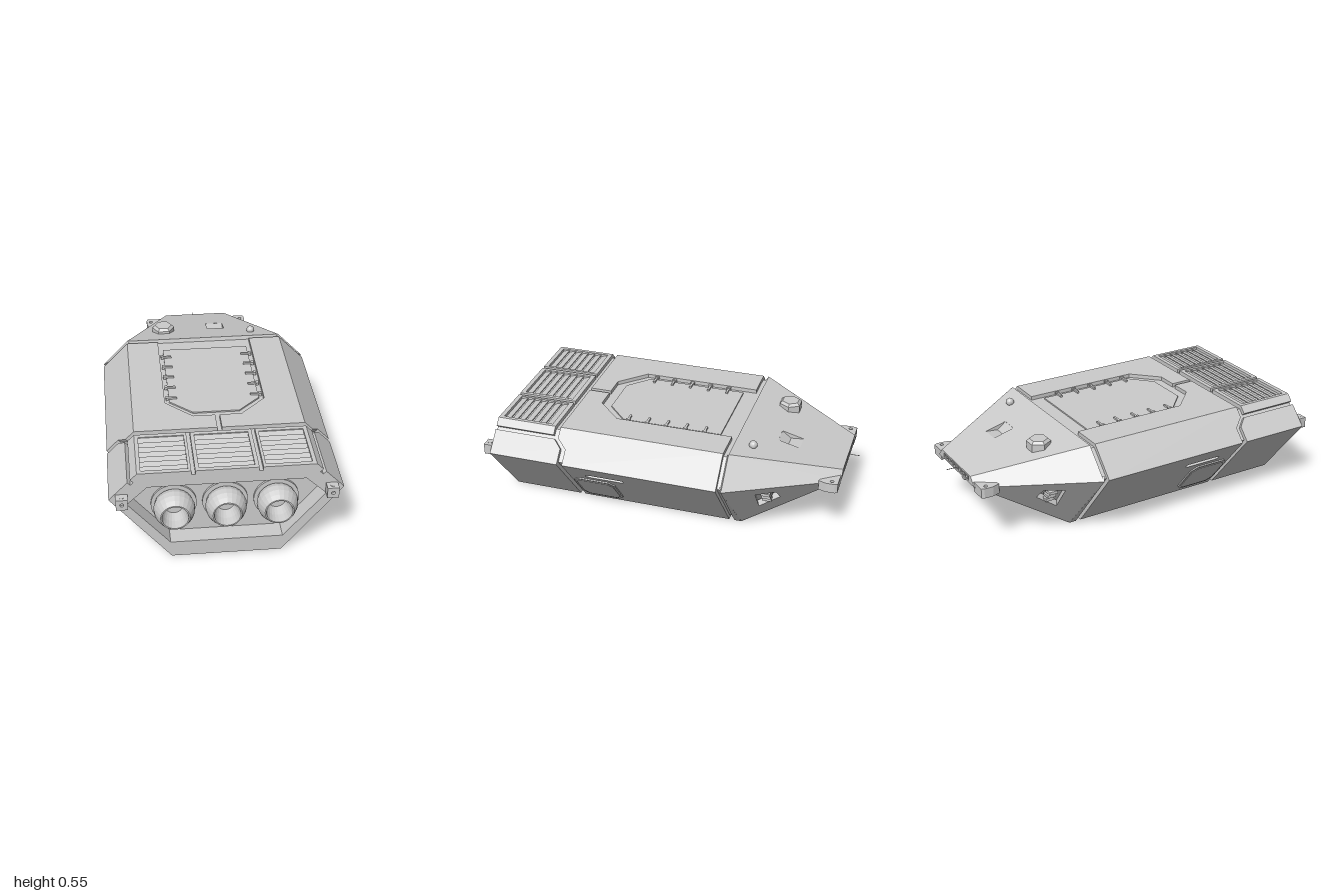
import * as THREE from 'three';
import { ConvexGeometry } from 'three/addons/geometries/ConvexGeometry.js';

const MAT = new THREE.MeshStandardMaterial({ color: 0xcccccc, flatShading: true, side: THREE.DoubleSide });
const V = (x, y, z) => new THREE.Vector3(x, y, z);
const CENTRE = V(0, 0.27, 0);

export function createModel() {
  const root = new THREE.Group();
  const add = (name, geo, x = 0, y = 0, z = 0) => {
    const m = new THREE.Mesh(geo, MAT);
    m.name = name;
    m.position.set(x, y, z);
    root.add(m);
    return m;
  };
  const box = (name, w, h, d, x, y, z) => add(name, new THREE.BoxGeometry(w, h, d), x, y, z);
  const shape2 = (pts, holes = []) => {
    const s = new THREE.Shape(pts.map(p => new THREE.Vector2(p[0], p[1])));
    holes.forEach(h => s.holes.push(new THREE.Path(h.map(p => new THREE.Vector2(p[0], p[1])))));
    return s;
  };
  const extrude = (s, depth) => new THREE.ExtrudeGeometry(s, { depth, bevelEnabled: false, curveSegments: 10 });

  // Armour plate: flat outline in space, thickened inwards by depth and outwards by raise
  const panel = (name, pts, { holes = [], depth = 0.022, raise = 0 } = {}) => {
    const o = pts[0], n = V(0, 0, 0), mid = V(0, 0, 0);
    pts.forEach((p, i) => {
      n.add(p.clone().sub(o).cross(pts[(i + 1) % pts.length].clone().sub(o)));
      mid.addScaledVector(p, 1 / pts.length);
    });
    n.normalize();
    if (n.dot(mid.sub(CENTRE)) < 0) n.negate();
    const u = pts[1].clone().sub(o);
    u.addScaledVector(n, -u.dot(n)).normalize();
    const v = n.clone().cross(u);
    const flat = list => list.map(p => { const d = p.clone().sub(o); return [d.dot(u), d.dot(v)]; });
    const g = extrude(shape2(flat(pts), holes.map(flat)), depth + raise);
    g.translate(0, 0, -depth);
    g.applyMatrix4(new THREE.Matrix4().makeBasis(u, v, n).setPosition(o));
    return add(name, g);
  };
  const flip = list => list.map(p => V(-p.x, p.y, p.z));
  const pair = (name, pts, opt = {}) => {
    panel(name + 'Left', pts, opt);
    panel(name + 'Right', flip(pts), { ...opt, holes: (opt.holes || []).map(flip) });
  };
  const bothSides = fn => [1, -1].forEach(fn);
  // Points on the sloped surfaces
  const low = (z, y) => V(0.595 - (0.385 - y) * 0.805, y, z);
  const up = (z, y) => V(0.595 - (y - 0.385) * 0.967, y, z);
  const top = (x, z) => V(x, 0.535, z);
  const noseTop = (x, z, drop = 0) => V(x, 0.535 + 0.148 * (z + 0.37) / 0.57 - drop, z);
  const noseLow = (z, y) => V(0.595 + (0.1627 * (y - 0.385) + 0.1266 * (z + 0.37)) / 0.2143, y, z);
  const noseUnder = (x, t) => V(x, 0.3 * t, -0.41 - 0.46 * t);
  const chamfer = (a0, a1, b0, b1, c, f) => [[a0 + c, b0], [a1 - c, b0], [a1, b0 + c], [a1, b1 - c],
    [a1 - c, b1], [a0 + c, b1], [a0, b1 - c], [a0, b0 + c]].map(p => f(p[0], p[1]));

  // Inner hull beneath the plates, with the engine bay opening at the front
  const hex = [[0.441, 0.513], [0.566, 0.384], [0.275, 0.022], [-0.275, 0.022], [-0.566, 0.384], [-0.441, 0.513]];
  const bay = [[0.4, 0.45], [0.505, 0.35], [0.29, 0.09], [-0.29, 0.09], [-0.505, 0.35], [-0.4, 0.45]];
  add('hullCore', extrude(shape2(hex), 1.235), 0, 0, -0.385);
  add('engineBayFrame', extrude(shape2(hex, [bay]), 0.1), 0, 0, 0.85);

  // Side plates, split by the jogged groove
  pair('lowerSidePlate', [low(-0.34, 0), low(0.525, 0), low(0.525, 0.385), low(-0.34, 0.385)],
    { holes: [chamfer(0.2, 0.42, 0.277, 0.302, 0.008, low)] });
  pair('lowerFrontSidePlate', [low(0.555, 0), low(0.95, 0), low(0.95, 0.385), low(0.555, 0.385)]);
  pair('upperSidePlate', [up(-0.34, 0.385), up(0.525, 0.385), up(0.525, 0.45), up(0.58, 0.49),
    up(0.58, 0.535), up(-0.34, 0.535)]);
  pair('upperFrontSidePlate', [up(0.555, 0.385), up(0.95, 0.385), up(0.95, 0.485), up(0.6, 0.485), up(0.555, 0.45)]);
  pair('ventEdgePlate', [up(0.61, 0.5), up(0.95, 0.5), up(0.95, 0.535), up(0.61, 0.535)]);
  pair('sideDoor', chamfer(0.27, 0.51, 0.04, 0.25, 0.03, low), { depth: 0, raise: 0.007 });
  pair('sideDoorInset', chamfer(0.282, 0.498, 0.052, 0.238, 0.027, low), { depth: 0, raise: 0.01 });

  // Roof plates and the sunken hatch with its hinges
  pair('roofPlate', [top(0.45, -0.34), top(0.27, -0.34), top(0.27, 0.32), top(0.13, 0.46),
    top(0.012, 0.46), top(0.012, 0.58), top(0.45, 0.58)]);
  panel('roofHatch', [[-0.245, -0.27], [0.245, -0.27], [0.245, 0.29], [0.125, 0.405], [-0.125, 0.405], [-0.245, 0.29]]
    .map(p => V(p[0], 0.513, p[1])), { depth: 0.002, raise: 0.008 });
  bothSides(s => {
    for (let i = 0; i < 5; i++) {
      box('hatchHinge', 0.06, 0.012, 0.012, s * 0.232, 0.525, -0.18 + i * 0.11);
      box('hinge knuckle', 0.014, 0.016, 0.024, s * 0.255, 0.525, -0.18 + i * 0.11);
    }
  });

  // Three louvred vents above the engines
  [[-0.45, -0.18, -0.43, -0.195], [-0.16, 0.16, -0.14, 0.14], [0.18, 0.45, 0.195, 0.43]].forEach(([a, b, c, d]) => {
    panel('ventFrame', [top(a, 0.61), top(b, 0.61), top(b, 0.95), top(a, 0.95)],
      { holes: [[top(c, 0.635), top(d, 0.635), top(d, 0.925), top(c, 0.925)]] });
    for (let i = 0; i < 7; i++) {
      box('ventSlat', d - c, 0.004, 0.042, (a + b) / 2 + (c + d - a - b) / 2, 0.523, 0.656 + i * 0.0415).rotation.x = 0.3;
    }
  });

  // Belly plates
  const belly = (x, z) => V(x, 0, z);
  panel('bellyPanel', [[-0.15, -0.34], [0.15, -0.34], [0.15, 0.3], [0.1, 0.37], [0.1, 0.46], [0.04, 0.52],
    [-0.04, 0.52], [-0.1, 0.46], [-0.1, 0.37], [-0.15, 0.3]].map(p => belly(...p)));
  pair('bellySidePlate', [[0.285, -0.34], [0.17, -0.34], [0.17, 0.305], [0.12, 0.375], [0.12, 0.465],
    [0.06, 0.525], [0.285, 0.525]].map(p => belly(...p)));
  panel('bellyFrontPlate', [belly(-0.285, 0.555), belly(0.285, 0.555), belly(0.285, 0.95), belly(-0.285, 0.95)]);

  // Tapered nose: inner core and plates
  const core = [];
  bothSides(s => [[0.415, 0.505, -0.37], [0.55, 0.385, -0.37], [0.27, 0.03, -0.37], [0.165, 0.365, -0.9],
    [0.2, 0.35, -0.9], [0.2, 0.335, -0.9]].forEach(p => core.push(V(s * p[0], p[1], p[2]))));
  add('noseCore', new ConvexGeometry(core));
  const A = V(0.595, 0.385, -0.37), T = V(0.45, 0.535, -0.37), E = V(0.185, 0.387, -0.94);
  const C = V(0.23, 0.34, -0.94), D = V(0.24, 0.3, -0.87), B = V(0.285, 0, -0.41), B0 = V(0.285, 0, -0.37);
  const quad = (p, q) => [p, q, ...flip([q, p])];
  const rect = (x0, x1, z0, z1, f) => [f(x0, z0), f(x1, z0), f(x1, z1), f(x0, z1)];
  panel('noseTopPlate', quad(T, E), { depth: 0.03, holes: [rect(0.045, 0.145, -0.69, -0.57, noseTop)] });
  pair('noseUpperSide', [A, T, E, C]);
  pair('noseLowerSide', [A, B, D, C],
    { depth: 0.035, holes: [[[-0.52, 0.31], [-0.62, 0.31], [-0.635, 0.25], [-0.52, 0.17]].map(p => noseLow(...p))] });
  pair('noseSideJoint', [A, B0, B]);
  panel('noseBellyJoint', quad(B0, B));
  panel('noseUnderside', quad(B, D), { depth: 0.03, holes: [chamfer(-0.17, 0.17, 0.15, 0.8, 0.06, noseUnder)] });
  panel('noseTipLower', quad(C, D), { depth: 0.01 });
  panel('noseTip', quad(E, C), { depth: 0.01, holes: [rect(-0.16, 0.16, 0.35, 0.377, (x, y) => V(x, y, -0.94))] });

  // Underside hatch block, roof trough, side niche fittings and tip lamps
  panel('undersideHatch', chamfer(-0.155, 0.155, 0.18, 0.77, 0.055, noseUnder), { depth: 0.035, raise: -0.012 });
  panel('undersideHatchStep', chamfer(-0.11, 0.11, 0.42, 0.74, 0.03, noseUnder), { depth: 0.03 });
  const trough = (z, drop) => [noseTop(0.045, z, drop), noseTop(0.145, z, drop)];
  [[-0.69, 'troughRear'], [-0.57, 'troughFront']].forEach(([z, name]) =>
    panel(name, [...trough(z, 0.001), ...trough(-0.62, 0.026).reverse()], { depth: 0.003 }));
  bothSides(s => {
    for (let i = 0; i < 3; i++) {
      const p = noseLow(-0.565, 0.225 + i * 0.03);
      box('nicheFitting', 0.05, 0.016, 0.05, s * (p.x - 0.025), p.y, p.z);
    }
  });
  for (let i = 0; i < 7; i++) box('tipLamp', 0.022, 0.016, 0.012, -0.135 + i * 0.045, 0.363, -0.934);

  // Fittings on the nose
  add('hexagonalCap', new THREE.CylinderGeometry(0.05, 0.066, 0.014, 6), -0.225, 0.523, -0.555).rotation.y = Math.PI / 6;
  add('hexagonalCapBase', new THREE.CylinderGeometry(0.066, 0.066, 0.05, 6), -0.225, 0.491, -0.555).rotation.y = Math.PI / 6;
  add('roofSensor', new THREE.SphereGeometry(0.023, 16, 10), 0.295, 0.522, -0.465);
  add('undersideSensor', new THREE.SphereGeometry(0.024, 16, 10), 0, 0.292, -0.885);
  add('antenna', new THREE.CylinderGeometry(0.002, 0.002, 0.07, 6), -0.012, 0.365, -0.965).rotation.x = Math.PI / 2;

  // Towing eyes
  const ring = (x, y, r) => Array.from({ length: 12 }, (_, i) =>
    [x + r * Math.cos(i * Math.PI / 6), y + r * Math.sin(i * Math.PI / 6)]);
  bothSides(s => {
    const front = extrude(shape2([[-0.03, -0.03], [0.03, -0.03], [0.03, 0.03], [-0.03, 0.03]], [ring(0, 0, 0.01)]), 0.05);
    add('frontTowEye', front, s * 0.53, 0.385, 0.95);
    add('frontTowPin', new THREE.CylinderGeometry(0.012, 0.012, 0.064, 12), s * 0.53, 0.385, 0.975);
    const plan = [[0.21, 0.935], [0.305, 0.935], [0.312, 0.92], [0.312, 0.87], [0.298, 0.83], [0.23, 0.85]];
    const rear = extrude(shape2(plan.map(p => [s * p[0], p[1]]), [ring(s * 0.285, 0.9, 0.011)]), 0.055);
    rear.rotateX(-Math.PI / 2);
    add('noseTowEye', rear, 0, 0.31, 0);
  });

  // Engine nozzles: flange, bulged bell and inner cone
  const bell = [[0.085, 0.85], [0.1, 0.87], [0.107, 0.9], [0.102, 0.93], [0.09, 0.955], [0.075, 0.98],
    [0.068, 0.98], [0.06, 0.93], [0.045, 0.88], [0, 0.88]].map(p => new THREE.Vector2(p[0], p[1]));
  [-0.265, 0, 0.265].forEach(x => {
    add('nozzleFlange', new THREE.CylinderGeometry(0.118, 0.118, 0.012, 32), x, 0.27, 0.856).rotation.x = Math.PI / 2;
    add('engineNozzle', new THREE.LatheGeometry(bell, 24), x, 0.27, 0).rotation.x = Math.PI / 2;
  });
  return root;
}
